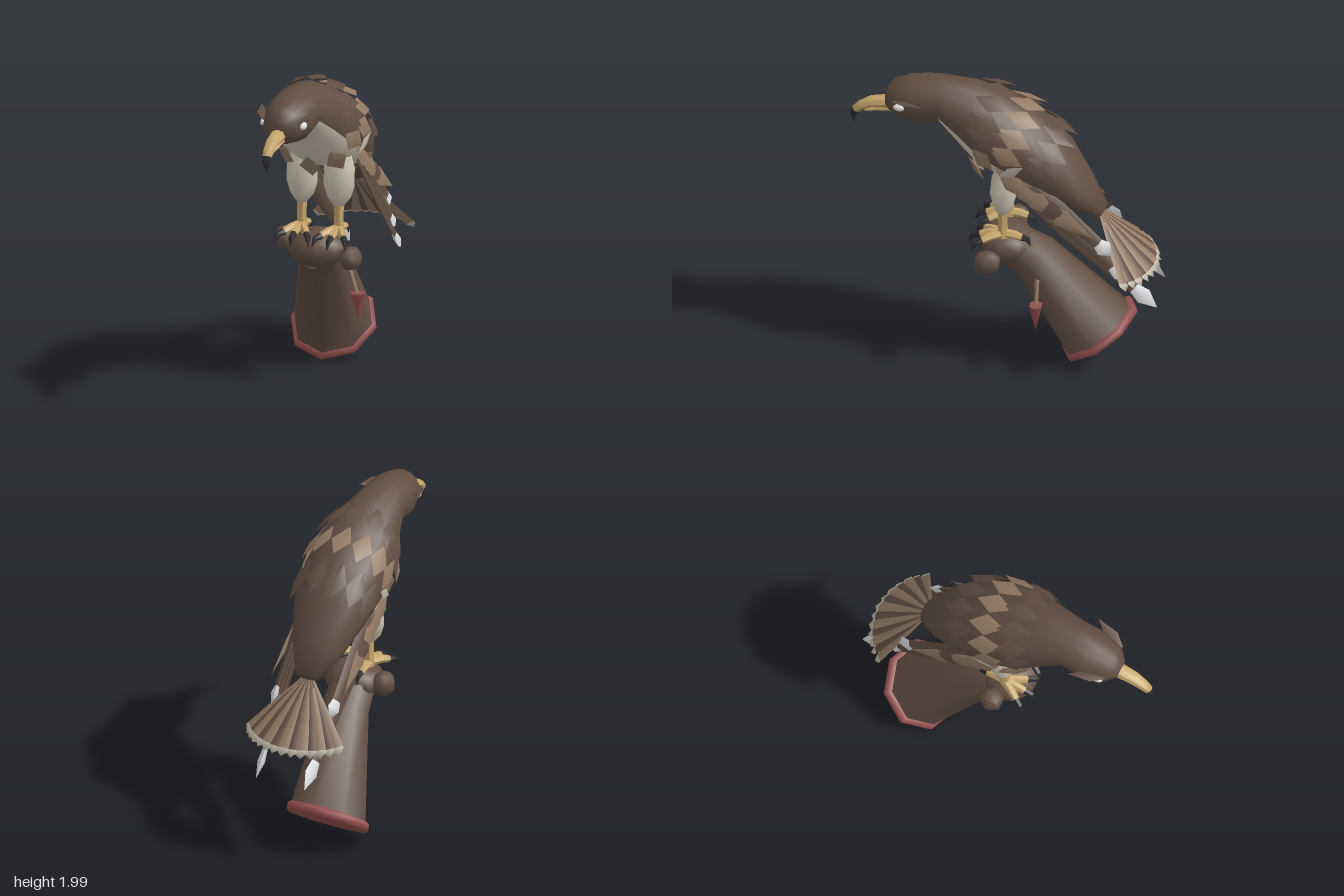
import * as THREE from 'three';
import { toCreasedNormals } from 'three/addons/utils/BufferGeometryUtils.js';

const V = (x, y, z) => new THREE.Vector3(x, y, z);
const mat = (name, color) => {
  const m = new THREE.MeshStandardMaterial({ color });
  m.name = name;
  return m;
};

// Point on an ellipse ring; u x v must point along the loft direction
const ring = (c, u, v, n) => Array.from({ length: n }, (_, j) => {
  const a = (j / n) * Math.PI * 2;
  return c.clone().addScaledVector(u, Math.cos(a)).addScaledVector(v, Math.sin(a));
});

// Closed skin through rings of equal size; pick(i, j) chooses the material of a face
function loft(name, rings, mats, pick = () => 0, crease = 0.9) {
  const n = rings[0].length;
  const mid = r => {
    const c = V(0, 0, 0);
    r.forEach(p => c.addScaledVector(p, 1 / n));
    return r.map(() => c);
  };
  const all = [mid(rings[0]), ...rings, mid(rings[rings.length - 1])];
  const buckets = mats.map(() => []);
  const tri = (out, a, b, c) => {
    const area = b.clone().sub(a).cross(c.clone().sub(a)).length();
    if (area > 1e-9) for (const p of [a, b, c]) out.push(p.x, p.y, p.z);
  };
  for (let i = 0; i < all.length - 1; i++) {
    const span = Math.min(Math.max(i - 1, 0), rings.length - 2);
    for (let j = 0; j < n; j++) {
      const k = (j + 1) % n, out = buckets[pick(span, j)];
      tri(out, all[i][j], all[i][k], all[i + 1][k]);
      tri(out, all[i][j], all[i + 1][k], all[i + 1][j]);
    }
  }
  let g = new THREE.BufferGeometry();
  g.setAttribute('position', new THREE.Float32BufferAttribute(buckets.flat(), 3));
  let start = 0;
  buckets.forEach((b, m) => { g.addGroup(start, b.length / 3, m); start += b.length / 3; });
  g = toCreasedNormals(g, crease);
  const mesh = new THREE.Mesh(g, mats.length > 1 ? mats : mats[0]);
  mesh.name = name;
  return mesh;
}

// Tapered limb along points [x, y, z, halfWidth, halfHeight]
function limb(name, pts, mats, n = 6, pick, ref = V(0, 1, 0), crease = 0.9) {
  const c = pts.map(p => V(p[0], p[1], p[2]));
  const rings = pts.map((p, i) => {
    const t = c[Math.min(i + 1, c.length - 1)].clone().sub(c[Math.max(i - 1, 0)]).normalize();
    const u = ref.clone().cross(t).normalize();
    const v = t.clone().cross(u);
    return ring(c[i], u.multiplyScalar(p[3]), v.multiplyScalar(p[4] ?? p[3]), n);
  });
  return loft(name, rings, mats, pick, crease);
}

// Ridged feather blade; with two materials the last two spans are the tip
const SCALE = [[0, 0.12], [0.5, 1], [1, 0.02]];
const WING = [[0, 0.5], [0.4, 1], [0.84, 0.7], [0.91, 1.05], [1, 0.03]];
const TAIL = [[0, 0.3], [0.5, 0.75], [0.9, 1], [0.93, 1], [1, 0.03]];
function feather(name, base, tip, normal, width, mats, profile = SCALE, thick = 0.25) {
  const t = tip.clone().sub(base).normalize();
  const u = normal.clone().cross(t).normalize();
  const v = t.clone().cross(u);
  const rings = profile.map(([s, w]) => ring(base.clone().lerp(tip, s),
    u.clone().multiplyScalar(width * w), v.clone().multiplyScalar(width * w * thick), 4));
  const last = profile.length - 3;
  return loft(name, rings, mats, (i) => (mats.length > 1 && i >= last ? 1 : 0), 1.3);
}

// Body sections from face to rump: top z, y, bottom z, y, half width
const BODY = [
  [0.74, 1.87, 0.735, 1.77, 0.055], [0.69, 1.95, 0.68, 1.72, 0.115],
  [0.58, 1.985, 0.53, 1.69, 0.155], [0.42, 2.0, 0.39, 1.71, 0.155],
  [0.18, 1.975, 0.28, 1.57, 0.205], [0.0, 1.9, 0.18, 1.46, 0.25],
  [-0.22, 1.78, 0.02, 1.38, 0.262], [-0.41, 1.58, -0.2, 1.3, 0.235],
  [-0.53, 1.36, -0.38, 1.2, 0.17], [-0.62, 1.18, -0.57, 1.11, 0.08],
];
function section(s) {
  const i = Math.min(Math.floor(s), BODY.length - 2);
  const [tz, ty, bz, by, w] = BODY[i].map((a, k) => a + (BODY[i + 1][k] - a) * (s - i));
  return { c: V(0, (ty + by) / 2, (tz + bz) / 2), u: V(-w, 0, 0), v: V(0, (ty - by) / 2, (tz - bz) / 2) };
}
function surface(s, a) {
  const { c, u, v } = section(s);
  return {
    p: c.clone().addScaledVector(u, Math.cos(a)).addScaledVector(v, Math.sin(a)),
    n: u.clone().multiplyScalar(Math.cos(a) / u.lengthSq())
      .addScaledVector(v, Math.sin(a) / v.lengthSq()).normalize(),
  };
}

export function createModel() {
  const brown = mat('dark brown', 0x624e42), tan = mat('light brown', 0x937a64);
  const cream = mat('down cream', 0xcfc5b2), pale = mat('tail tip', 0xbeb7a6);
  const horn = mat('beak yellow', 0xc6a66c), black = mat('claw black', 0x2d2b2e);
  const white = mat('feather white', 0xe0e1e4), red = mat('trim red', 0x95504e);
  const model = new THREE.Group();
  model.name = 'birdOnGlove';
  const bird = new THREE.Group();
  bird.name = 'bird';
  bird.position.x = 0.035;
  model.add(bird);
  const ball = (parent, name, m, p, s, w = 8, h = 6) => {
    const mesh = new THREE.Mesh(new THREE.SphereGeometry(1, w, h), m);
    mesh.name = name;
    mesh.position.set(...p);
    mesh.scale.set(...s);
    parent.add(mesh);
  };

  // Head, body and pale belly in one skin
  bird.add(loft('body', BODY.map((_, i) => {
    const { c, u, v } = section(i);
    return ring(c, u, v, 16);
  }), [brown, cream], (i, j) => (i >= 3 && i <= 6 && Math.sin((j + 0.5) * Math.PI / 8) < -0.3 ? 1 : 0), 1.2));

  // Rows of raised scale feathers: section, centre angle, spread, count, length, width, lift, colour
  const rows = [
    ['upperBackFeather', 4.1, 90, 84, 7, 0.22, 0.064, 0.2, brown],
    ['middleBackFeather', 5.1, 90, 84, 7, 0.23, 0.066, 0.2, tan],
    ['lowerBackFeather', 6.1, 90, 70, 6, 0.24, 0.066, 0.2, brown],
    ['breastFeather', 4.6, -90, 72, 5, 0.17, 0.07, 0.35, tan],
    ['bellyFeather', 6.4, -90, 60, 5, 0.17, 0.055, 0.2, tan],
  ];
  for (const [name, s, mid, spread, count, len, w, lift, m] of rows) {
    for (let k = 0; k < count; k++) {
      const a = (mid - spread + (2 * spread * k) / (count - 1)) * Math.PI / 180;
      const { p, n } = surface(s, a);
      const d = surface(s + 0.5, a).p.sub(p).normalize()
        .addScaledVector(n, lift * Math.abs(Math.sin(a))).normalize();
      p.addScaledVector(n, 0.01);
      bird.add(feather(name, p, p.clone().addScaledVector(d, len), n, w, [m]));
    }
  }

  // Hooked beak and lower jaw
  bird.add(limb('beak', [[0, 1.795, 0.71, 0.05, 0.042], [0, 1.78, 0.83, 0.043, 0.034],
    [0, 1.745, 0.895, 0.036, 0.03], [0, 1.715, 0.925, 0.03, 0.028],
    [0, 1.675, 0.942, 0.022, 0.018], [0, 1.61, 0.932, 0.003, 0.003]],
  [horn, black], 8, i => (i >= 3 ? 1 : 0), undefined, 0.7));
  bird.add(limb('lowerJaw', [[0, 1.755, 0.71, 0.038, 0.028], [0, 1.74, 0.8, 0.03, 0.02],
    [0, 1.715, 0.87, 0.012, 0.009]], [horn], 6));

  for (const s of [1, -1]) {
    // Eye and brow tuft
    ball(bird, 'eye', white, [s * 0.127, 1.838, 0.637], [0.022, 0.024, 0.04]);
    bird.add(feather('brow', V(s * 0.105, 1.865, 0.68), V(s * 0.2, 1.895, 0.48),
      V(s * -0.3, 1, 0), 0.042, [brown], [[0, 0.4], [0.4, 1], [1, 0.02]], 0.3));

    // Long wing feathers with white tips: base y, z then tip x, y, z
    const wing = [[1.4, -0.08, 0.165, 0.575, -0.955], [1.43, -0.12, 0.19, 0.76, -0.795],
      [1.46, -0.15, 0.2, 0.945, -0.685]];
    for (const [by, bz, tx, ty, tz] of wing) {
      bird.add(feather('wingFeather', V(s * 0.215, by, bz), V(s * tx, ty, tz),
        V(s, 0.45, -0.1), 0.05, [brown, white], WING, 0.45));
    }
    // Wing coverts and the pale shoulder tuft
    for (let k = 0; k < 5; k++) {
      bird.add(feather('wingCovert', V(s * 0.235, 1.54 - k * 0.05, 0.02 - k * 0.05),
        V(s * 0.25, 1.33 - k * 0.06, -0.18 - k * 0.1), V(s, 0.2, 0), 0.06, [k === 3 ? brown : tan]));
    }
    bird.add(feather('shoulderTuft', V(s * 0.25, 1.48, 0), V(s * 0.275, 1.58, -0.15),
      V(s, 0, 0), 0.035, [pale]));

    // Leg
    const x = s * 0.12, fwd = V(0, 0, 1);
    bird.add(limb('thigh', [[x, 1.47, -0.02, 0.07, 0.06], [x, 1.38, -0.01, 0.1, 0.08],
      [x, 1.26, 0, 0.1, 0.08], [x, 1.19, 0, 0.078, 0.062], [x, 1.135, 0, 0.035, 0.035]],
    [cream], 8, undefined, fwd, 1.2));
    bird.add(limb('shank', [[x, 1.17, 0, 0.034], [x, 1.05, 0, 0.03], [x, 0.96, 0, 0.036]],
      [horn], 6, undefined, fwd));
    // Toes and claws
    for (const a of [-0.55, 0, 0.55, Math.PI]) {
      const r = a > 3 ? 0.82 : 1;
      const at = (d, y, w) => [x + Math.sin(a) * d * r, y, Math.cos(a) * d * r, w];
      bird.add(limb('toe', [at(0, 0.985, 0.03), at(0.08, 0.98, 0.027), at(0.14, 0.965, 0.022),
        at(0.185, 0.955, 0.018), at(0.21, 0.905, 0.002)], [horn, black], 6, i => (i >= 2 ? 1 : 0)));
    }
  }

  // Tail fan, light and dark feathers in turn
  for (let k = -6; k <= 6; k++) {
    const a = (k / 6) * 1.02, dark = Math.abs(k % 2);
    bird.add(feather('tailFeather', V(Math.sin(a) * 0.04, 1.12, -0.59),
      V(0.37 * Math.sin(a), 0.77, -0.61 - 0.34 * Math.cos(a)),
      V(0, 0.75, -0.66), dark ? 0.036 : 0.044, [dark ? brown : tan, pale], TAIL, 0.4));
  }

  // Glove: sleeve, trimmed cuff, fist and knuckles
  const tilt = (x, y, z, r) => ring(V(x, y, z), V(r, 0, 0), V(0, 0.6 * r, -0.8 * r), 8).reverse();
  model.add(loft('sleeve', [tilt(0.01, 0.82, -0.03, 0.145), tilt(-0.01, 0.735, -0.165, 0.155),
    tilt(-0.085, 0.19, -0.55, 0.255)], [brown], undefined, 1.0));
  model.add(loft('cuff', [tilt(-0.084, 0.207, -0.538, 0.25), tilt(-0.086, 0.194, -0.55, 0.278),
    tilt(-0.09, 0.172, -0.567, 0.278), tilt(-0.092, 0.16, -0.577, 0.255)], [red], undefined, 1.7));
  ball(model, 'fist', brown, [0.015, 0.85, 0], [0.19, 0.122, 0.17], 10, 6);
  ball(model, 'knuckle', brown, [0.262, 0.83, 0.08], [0.075, 0.075, 0.09], 6, 5);
  ball(model, 'knuckle', brown, [-0.2, 0.875, -0.03], [0.075, 0.08, 0.08], 6, 5);

  // Tassel on its strap
  const fwd = V(0, 0, 1);
  model.add(limb('strap', [[0.15, 0.66, -0.21, 0.014], [0.2, 0.49, -0.21, 0.012]], [tan], 4, undefined, fwd));
  model.add(limb('tassel', [[0.2, 0.51, -0.21, 0.052, 0.042], [0.206, 0.34, -0.21, 0.003, 0.003]],
    [red], 6, undefined, fwd, 1.2));
  return model;
}
